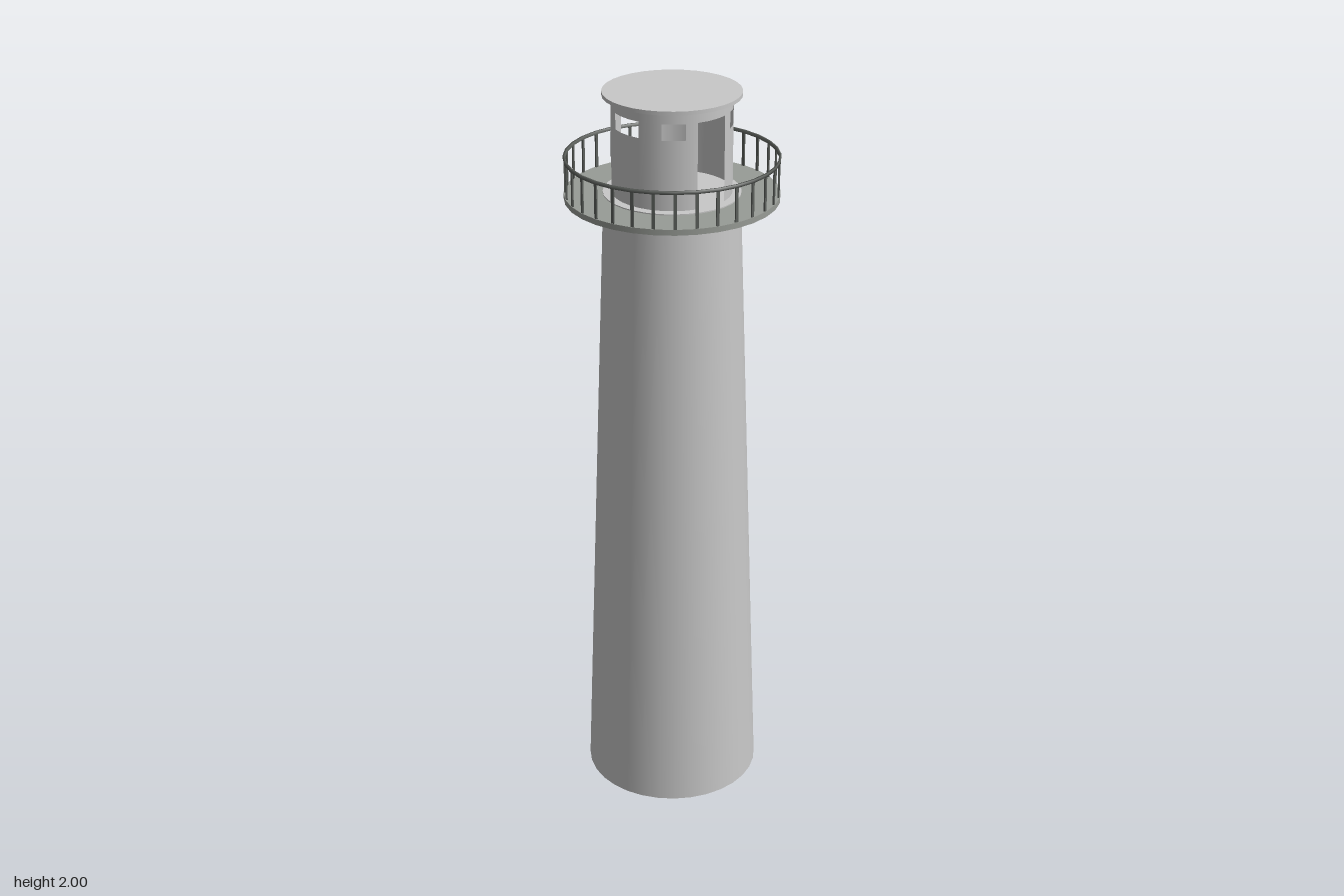
import * as THREE from 'three';

const SIDES = 32;
const STEP = (Math.PI * 2) / SIDES;

export function createModel() {
  const model = new THREE.Group();
  model.name = 'lighthouse';

  const wall = new THREE.MeshStandardMaterial({ name: 'pale grey wall', color: 0xc8c8c8, side: THREE.DoubleSide });
  const deckGrey = new THREE.MeshStandardMaterial({ name: 'deck grey', color: 0x989c96 });
  const iron = new THREE.MeshStandardMaterial({ name: 'dark iron', color: 0x5c605c });

  const add = (parent, name, geometry, material, y = 0) => {
    const mesh = new THREE.Mesh(geometry, material);
    mesh.name = name;
    mesh.position.y = y;
    parent.add(mesh);
    return mesh;
  };
  const drum = (top, bottom, height, open = false) =>
    new THREE.CylinderGeometry(top, bottom, height, SIDES, 1, open);

  // Tapered tower, open at the foot, with a small flare beneath the gallery
  add(model, 'tower', drum(0.178, 0.24, 1.695, true), wall, 0.8475);
  add(model, 'towerFlare', drum(0.193, 0.178, 0.023, true), wall, 1.7065);

  // Gallery deck and the lantern room floor
  add(model, 'galleryDeck', drum(0.278, 0.278, 0.015), deckGrey, 1.7255);
  add(model, 'lanternFloor', drum(0.178, 0.178, 0.003), wall, 1.7345);

  // Lantern room wall: runs of facets, repeated after half a turn
  const lantern = new THREE.Group();
  lantern.name = 'lanternRoom';
  model.add(lantern);
  const FLOOR = 1.733, SILL = 1.918, LINTEL = 1.96, TOP = 1.991;
  const panel = (name, start, count, y0, y1) =>
    add(lantern, name,
      new THREE.CylinderGeometry(0.155, 0.155, y1 - y0, count, 1, true, start * STEP, count * STEP),
      wall, (y0 + y1) / 2);
  const runs = [
    [-2, 3, 'door'], [1, 1, 'solid'], [2, 2, 'window'], [4, 2, 'solid'],
    [6, 3, 'window'], [9, 2, 'solid'], [11, 2, 'window'], [13, 1, 'solid'],
  ];
  for (const half of [0, SIDES / 2]) {
    for (const [first, count, kind] of runs) {
      const start = first + half;
      if (kind === 'solid') panel('wallPanel', start, count, FLOOR, TOP);
      else panel(kind + 'Lintel', start, count, LINTEL, TOP);
      if (kind === 'window') panel('windowSill', start, count, FLOOR, SILL);
    }
  }

  // Flat roof
  add(model, 'roof', drum(0.178, 0.178, 0.01), wall, 1.995);

  // Railing: one post at each deck corner, and a top rail
  const railing = new THREE.Group();
  railing.name = 'railing';
  model.add(railing);
  const postShape = new THREE.BoxGeometry(0.008, 0.095, 0.004);
  for (let i = 0; i < SIDES; i++) {
    const a = i * STEP;
    const post = add(railing, 'railPost', postShape, iron, 1.7805);
    post.position.x = Math.sin(a) * 0.274;
    post.position.z = Math.cos(a) * 0.274;
    post.rotation.y = a;
  }
  const railProfile = [[0.272, 1.823], [0.278, 1.823], [0.278, 1.831], [0.272, 1.831], [0.272, 1.823]]
    .map(([x, y]) => new THREE.Vector2(x, y));
  add(railing, 'topRail', new THREE.LatheGeometry(railProfile, SIDES), iron);

  return model;
}
